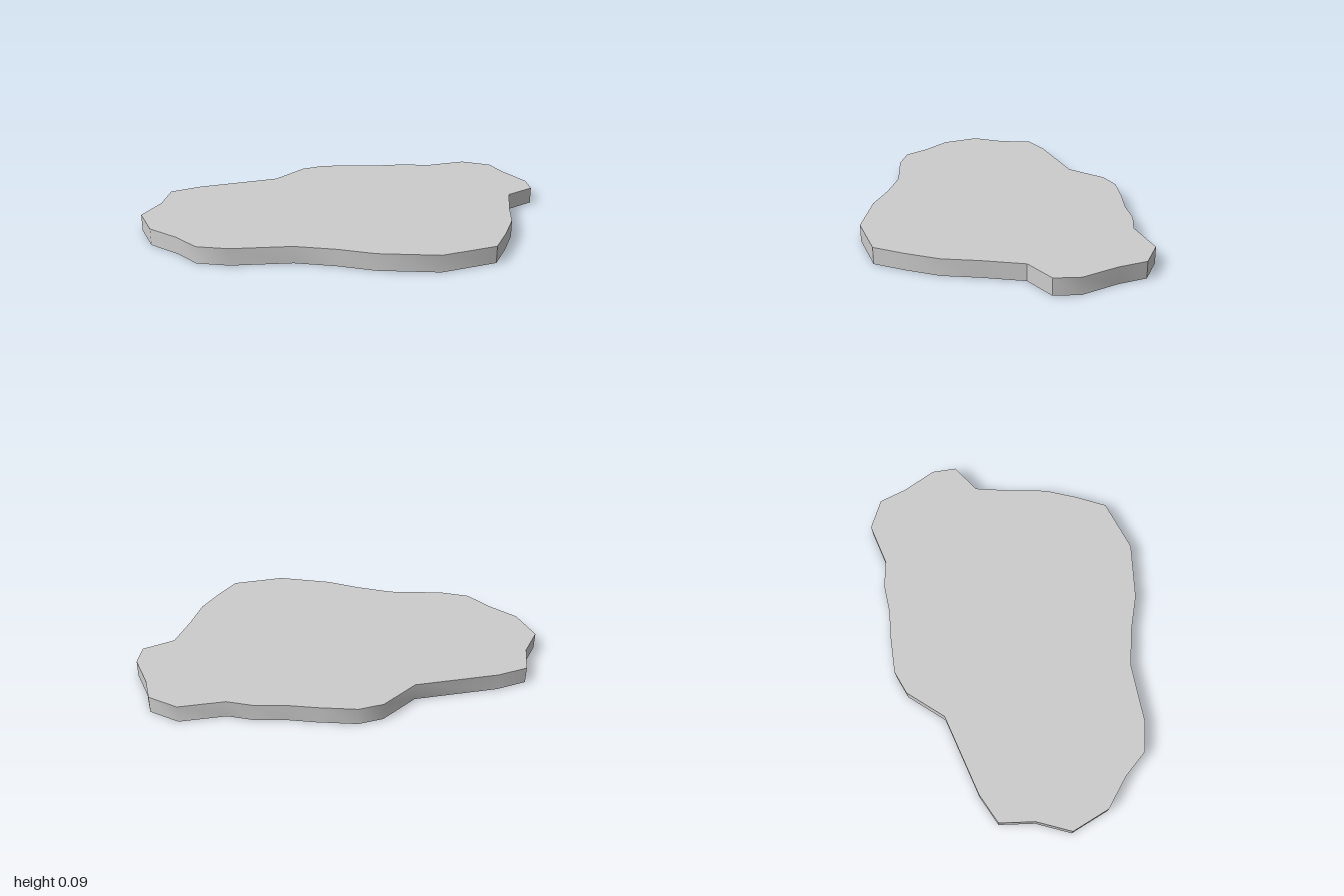
import * as THREE from 'three';
import { toCreasedNormals } from 'three/addons/utils/BufferGeometryUtils.js';

const THICKNESS = 0.087;

// Irregular outline of the slab, as [x, z]
const OUTLINE = [
  [-0.58, -0.91], [-0.42, -0.85], [-0.04, -0.62], [0.2, -0.63], [0.32, -0.575],
  [0.455, -0.43], [0.555, -0.31], [0.665, -0.21], [0.745, -0.09], [0.945, 0.035],
  [1, 0.2], [0.93, 0.335], [0.865, 0.525], [0.77, 0.615], [0.595, 0.575],
  [0.41, 0.685], [0.255, 0.79], [0.085, 0.855], [-0.08, 0.905], [-0.335, 0.765],
  [-0.515, 0.52], [-0.595, 0.345], [-0.7, 0.165], [-0.915, -0.05], [-1, -0.19],
  [-0.985, -0.35], [-1, -0.54], [-0.91, -0.735], [-0.73, -0.8],
];

export function createModel() {
  const group = new THREE.Group();
  group.name = 'flatStone';

  // Extrude the outline, then lay it flat on the ground
  const shape = new THREE.Shape(OUTLINE.map(([x, z]) => new THREE.Vector2(x, z)));
  const slab = new THREE.ExtrudeGeometry(shape, { depth: THICKNESS, bevelEnabled: false });
  slab.rotateX(Math.PI / 2).translate(0, THICKNESS, 0);

  // Gentle bends of the rim are smooth, strong corners stay sharp
  const geometry = toCreasedNormals(slab, THREE.MathUtils.degToRad(42));
  const mesh = new THREE.Mesh(geometry, new THREE.MeshStandardMaterial({ color: 0xcccccc }));
  mesh.name = 'stoneSlab';
  group.add(mesh);
  return group;
}
